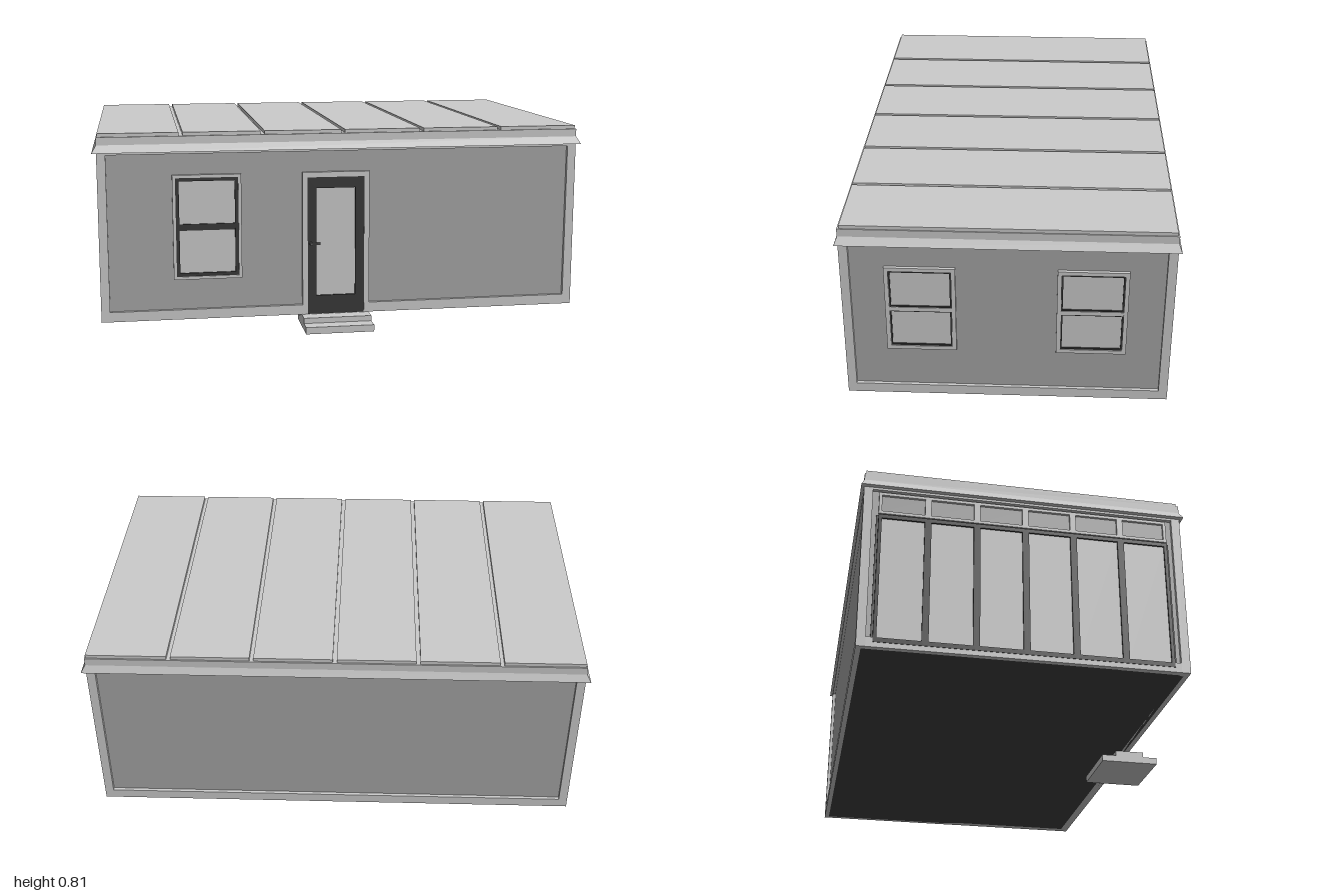
import * as THREE from 'three';

const mat = (color) => new THREE.MeshStandardMaterial({ color });
const GREY = mat(0xcccccc), WALL = mat(0xa6a6a6), DARK = mat(0x383838), MID = mat(0x606060), FLOOR = mat(0x404040);

// Extents of the building shell
const X = 0.982, ZF = 0.577, ZB = -0.685, Y0 = 0.05, Y1 = 0.735;
const ZC = (ZF + ZB) / 2, DEPTH = ZF - ZB;
const RECESS = 0.014; // wall panels sit this far behind the trim

// Box given by its minimum and maximum corners
function box(parent, name, x0, x1, y0, y1, z0, z1, material = GREY) {
  const mesh = new THREE.Mesh(new THREE.BoxGeometry(x1 - x0, y1 - y0, z1 - z0), material);
  mesh.position.set((x0 + x1) / 2, (y0 + y1) / 2, (z0 + z1) / 2);
  mesh.name = name;
  parent.add(mesh);
  return mesh;
}

// Rectangular frame with an opening; border is [side, bottom, top]
function frame(parent, name, x0, x1, y0, y1, [side, bottom, top], z0, z1, material = GREY) {
  const rect = (p, a, b, c, d) => p.moveTo(a, c).lineTo(b, c).lineTo(b, d).lineTo(a, d).closePath();
  const shape = new THREE.Shape();
  rect(shape, x0, x1, y0, y1);
  const hole = new THREE.Path();
  rect(hole, x0 + side, x1 - side, y0 + bottom, y1 - top);
  shape.holes.push(hole);
  const mesh = new THREE.Mesh(new THREE.ExtrudeGeometry(shape, { depth: z1 - z0, bevelEnabled: false }), material);
  mesh.position.z = z0;
  mesh.name = name;
  parent.add(mesh);
}

// Wall space: x runs along the wall, z = 0 is the trim face, +z points outwards
function wallSpace(parent, name, x, z, angle) {
  const g = new THREE.Group();
  g.name = name;
  g.position.set(x, 0, z);
  g.rotation.y = angle;
  parent.add(g);
  return g;
}

// Sash window: trim, sash frame, two panes and a meeting rail
function sashWindow(parent, x0, x1, y0, y1, trim, sash, railMaterial) {
  const g = new THREE.Group();
  g.name = 'sashWindow';
  parent.add(g);
  const a = x0 + trim, b = x1 - trim, c = y0 + trim, d = y1 - trim, m = (c + d) / 2;
  frame(g, 'windowTrim', x0, x1, y0, y1, [trim, trim, trim], -RECESS - 0.01, 0);
  frame(g, 'windowSash', a, b, c, d, [sash, sash, sash], -RECESS - 0.01, -0.004, DARK);
  box(g, 'windowGlass', a, b, c, d, -RECESS - 0.01, -0.01);
  box(g, 'railShadow', a, b, m - 0.013, m + 0.013, -RECESS, -0.005, DARK);
  if (railMaterial) box(g, 'meetingRail', a, b, m - 0.008, m + 0.008, -RECESS, -0.002, railMaterial);
}

export function createModel() {
  const model = new THREE.Group();
  model.name = 'cabin';

  // Shell: recessed wall panels and floor
  box(model, 'wallPanels', -X + RECESS, X - RECESS, Y0 + 0.005, Y1, ZB + RECESS, ZF - RECESS, WALL);
  box(model, 'floor', -X + 0.02, X - 0.02, Y0, Y0 + 0.01, ZB + 0.02, ZF - 0.02, FLOOR);

  // Corner posts
  const P = 0.035;
  for (const x of [-X, X - P])
    for (const z of [ZB, ZF - P]) box(model, 'cornerPost', x, x + P, Y0, Y1, z, z + P);

  // Wall spaces with top and bottom rails
  const front = wallSpace(model, 'frontWall', 0, ZF, 0);
  const back = wallSpace(model, 'backWall', 0, ZB, Math.PI);
  const left = wallSpace(model, 'leftWall', X, 0, Math.PI / 2);
  const right = wallSpace(model, 'rightWall', -X, 0, -Math.PI / 2);
  const spans = [[front, -X, X], [back, -X, X], [left, -ZF, -ZB], [right, ZB, ZF]];
  for (const [wall, a, b] of spans) {
    box(wall, 'bottomRail', a + P, b - P, Y0, 0.09, -P, 0);
    box(wall, 'topRail', a + P, b - P, 0.725, Y1, -P, 0);
  }

  // Windows
  sashWindow(front, -0.69, -0.415, 0.214, 0.64, 0.012, 0.014, null);
  for (const x of [-0.412, 0.243]) sashWindow(left, x, x + 0.27, 0.262, 0.632, 0.016, 0.006, GREY);

  // Front door with a tall pane and a lever handle
  const door = new THREE.Group();
  door.name = 'frontDoor';
  front.add(door);
  frame(door, 'doorTrim', -0.168, 0.108, Y0, 0.64, [0.021, 0.001, 0.021], -0.03, 0.002);
  frame(door, 'doorLeaf', -0.147, 0.087, Y0, 0.619, [0.037, 0.078, 0.045], -0.03, 0.001, DARK);
  box(door, 'doorGlass', -0.112, 0.052, 0.125, 0.577, -0.03, -0.006);
  const spindle = new THREE.Mesh(new THREE.CylinderGeometry(0.007, 0.007, 0.016, 12), MID);
  spindle.name = 'handleSpindle';
  spindle.rotation.x = Math.PI / 2;
  spindle.position.set(-0.135, 0.347, 0.008);
  door.add(spindle);
  box(door, 'handleLever', -0.139, -0.096, 0.343, 0.351, 0.011, 0.018, MID);

  // Entrance steps
  box(model, 'lowerStep', -0.172, 0.107, 0, 0.028, 0.455, 0.7);
  box(model, 'upperStep', -0.172, 0.107, 0.028, 0.05, 0.517, 0.64);

  // Glazed wall: six tall panes under a row of small upper lights
  const g0 = -0.625, g1 = 0.517, count = 6, step = (g1 - g0) / count;
  box(right, 'glazingBacking', g0 - 0.008, g1 + 0.008, 0.07, 0.615, -RECESS, -0.008, DARK);
  for (let i = 0; i < count; i++) {
    const a = g0 + i * step, b = a + step;
    frame(right, 'paneFrame', a, b, 0.07, 0.615, [0.013, 0.018, 0.016], -RECESS, 0.002, DARK);
    box(right, 'tallPane', a + 0.013, b - 0.013, 0.088, 0.599, -RECESS, -0.005);
    frame(right, 'upperLightFrame', a, b, 0.62, 0.715, [0.012, 0.012, 0.012], -RECESS, 0);
    box(right, 'upperLight', a + 0.012, b - 0.012, 0.632, 0.703, -RECESS, -0.01, WALL);
  }

  // Flared eave: a box whose lower edge is spread outwards
  const eave = box(model, 'eave', -X, X, 0.734, 0.765, ZB, ZF);
  const pos = eave.geometry.attributes.position;
  for (let i = 0; i < pos.count; i++) {
    if (pos.getY(i) > 0) continue;
    pos.setX(i, pos.getX(i) + Math.sign(pos.getX(i)) * 0.018);
    pos.setZ(i, pos.getZ(i) + Math.sign(pos.getZ(i)) * 0.012);
  }
  eave.geometry = eave.geometry.toNonIndexed();
  eave.geometry.computeVertexNormals();
  eave.position.z = ZC;

  // Fascia and six roof sheets separated by narrow grooves
  box(model, 'fascia', -X, X, 0.765, 0.796, ZC - DEPTH / 2, ZC + DEPTH / 2);
  const sheet = (2 * 0.978) / 6;
  for (let i = 0; i < 6; i++) {
    const a = -0.978 + i * sheet;
    box(model, 'roofSheet', a + (i ? 0.008 : 0), a + sheet - (i < 5 ? 0.008 : 0), 0.796, 0.81, ZB + 0.006, ZF - 0.008);
  }
  return model;
}
